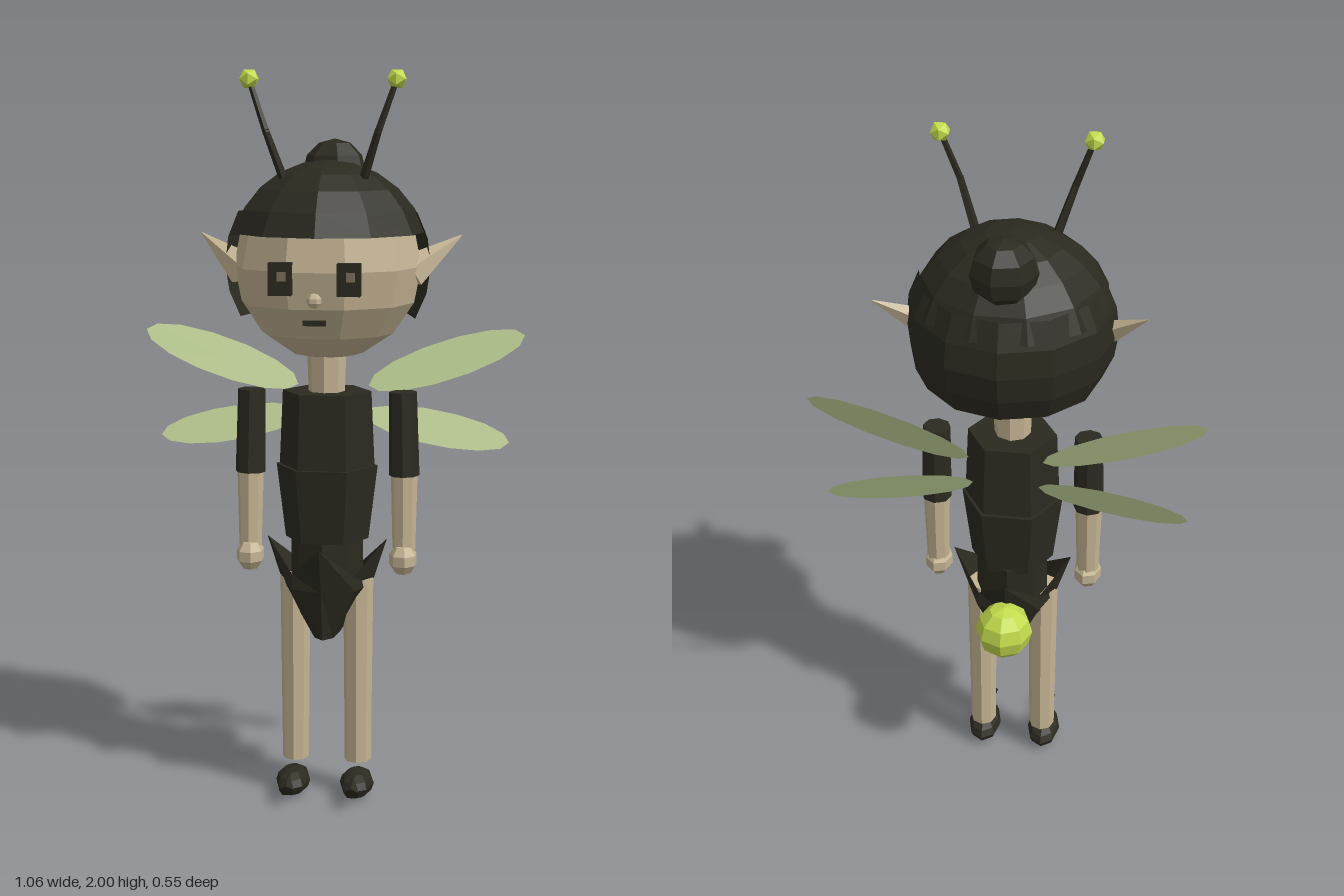
import * as THREE from 'three';

const mat = (name, color, side = THREE.FrontSide) => {
  const m = new THREE.MeshStandardMaterial({ color, side, flatShading: true });
  m.name = name;
  return m;
};

export function createModel() {
  const root = new THREE.Group();
  root.name = 'fairy';
  const skin = mat('skin', 0xc4b493);
  const dark = mat('dark cloth and hair', 0x2b2a20, THREE.DoubleSide);
  const glow = mat('glow green', 0xc2da4c);
  const wingGreen = mat('wing green', 0xc4d69a, THREE.DoubleSide);
  const glint = mat('eye glint', 0x7d715c);

  const add = (name, geo, material, x = 0, y = 0, z = 0, sx = 1, sy = 1, sz = 1) => {
    const m = new THREE.Mesh(geo, material);
    m.name = name;
    m.position.set(x, y, z);
    m.scale.set(sx, sy, sz);
    root.add(m);
    return m;
  };
  // tapered cylinder running between two points
  const rod = (name, a, b, ra, rb, sides, material, flat = 1) => {
    const p = new THREE.Vector3(...a), d = new THREE.Vector3(...b).sub(p);
    const m = add(name, new THREE.CylinderGeometry(rb, ra, d.length(), sides), material);
    m.position.copy(p).addScaledVector(d, 0.5);
    m.quaternion.setFromUnitVectors(new THREE.Vector3(0, 1, 0), d.normalize());
    m.scale.z = flat;
    return m;
  };
  const ball = (r, w = 8, h = 6) => new THREE.SphereGeometry(r, w, h);

  // head and face
  add('head', ball(0.255, 10, 8), skin, 0, 1.48, 0, 1, 1, 0.95);
  add('nose', ball(0.02, 6, 5), skin, 0, 1.41, 0.25);
  add('mouth', new THREE.BoxGeometry(0.06, 0.014, 0.012), dark, 0, 1.352, 0.248);
  rod('neck', [0, 1.14, 0.01], [0, 1.26, 0.01], 0.05, 0.054, 8, skin);

  // hair: cap, back shell and bun
  const cap = new THREE.SphereGeometry(0.277, 11, 5, Math.PI / 2, Math.PI * 2, 0, 1.26);
  add('hairCap', cap, dark, 0, 1.485, -0.008, 1, 1, 0.96);
  const back = new THREE.SphereGeometry(0.28, 6, 4, Math.PI, Math.PI, 1.05, 1.07);
  add('hairBack', back, dark, 0, 1.485, 0);
  add('hairBun', ball(0.09, 7, 6), dark, 0, 1.725, -0.155);

  // torso: rings of a six-sided body
  const torso = (name, y0, r0, y1, r1, depth) => {
    const geo = new THREE.CylinderGeometry(r1, r0, y1 - y0, 6);
    geo.rotateY(Math.PI / 6);
    add(name, geo, dark, 0, (y0 + y1) / 2, 0.005, 1, 1, depth);
  };
  torso('chest', 0.92, 0.132, 1.14, 0.122, 0.94);
  torso('waist', 0.73, 0.115, 0.935, 0.14, 0.97);
  rod('hips', [0, 0.56, 0], [0, 0.74, 0], 0.1, 0.1, 8, dark);

  // petal skirt: eight-sided cup whose rim rises to four points
  const profile = [[0.001, 0.45], [0.08, 0.46], [0.125, 0.6], [0.14, 0.67]].map(p => new THREE.Vector2(...p));
  const petals = new THREE.LatheGeometry(profile, 8);
  const pos = petals.attributes.position;
  for (let i = 0; i < pos.count; i++) {
    const ring = i % 4, point = Math.floor(i / 4) % 2 === 0;
    if (ring === 3) {
      const k = point ? 1.19 : 0.85;
      pos.setXYZ(i, pos.getX(i) * k, point ? 0.73 : 0.64, pos.getZ(i) * k);
    } else if (ring === 1) {
      pos.setX(i, pos.getX(i) * 0.45);
      pos.setZ(i, pos.getZ(i) * 1.2);
    }
  }
  petals.computeVertexNormals();
  add('petalSkirt', petals, dark, 0, 0, 0.005);

  // glowing tail
  add('tailGlow', ball(0.08), glow, 0, 0.585, -0.165);

  // leaf-shaped wing, leaning back along its length
  const wing = (name, s, x, y, halfLength, halfWidth, angle) => {
    const geo = new THREE.CircleGeometry(1, 14);
    geo.scale(halfLength, halfWidth, 1);
    geo.rotateX(-0.35);
    const m = add(name, geo, wingGreen, s * x, y, -0.125);
    m.rotation.z = s * angle;
  };

  for (const s of [1, -1]) {
    const side = s > 0 ? 'left' : 'right';

    // eye with a small glint
    add(side + 'Eye', new THREE.BoxGeometry(0.06, 0.085, 0.032), dark, s * 0.09, 1.465, 0.242);
    add(side + 'EyeGlint', new THREE.BoxGeometry(0.022, 0.024, 0.009), glint, s * 0.09 + 0.006, 1.473, 0.261);

    // pointed ear
    rod(side + 'Ear', [s * 0.225, 1.465, 0.005], [s * 0.357, 1.56, -0.063], 0.05, 0.002, 5, skin, 0.7);

    // antenna
    rod(side + 'AntennaBase', [s * 0.105, 1.71, 0.07], [s * 0.15, 1.845, 0.103], 0.013, 0.01, 5, dark);
    rod(side + 'AntennaStalk', [s * 0.147, 1.835, 0.103], [s * 0.192, 1.965, 0.088], 0.01, 0.008, 5, dark);
    add(side + 'AntennaTip', new THREE.IcosahedronGeometry(0.028), glow, s * 0.195, 1.974, 0.087);

    // arm
    rod(side + 'Sleeve', [s * 0.213, 0.91, 0.005], [s * 0.208, 1.14, 0.005], 0.042, 0.038, 8, dark);
    rod(side + 'Forearm', [s * 0.214, 0.69, 0.01], [s * 0.213, 0.92, 0.005], 0.031, 0.037, 8, skin);
    add(side + 'Hand', ball(0.045, 7, 5), skin, s * 0.213, 0.677, 0.018, 0.9, 1, 1.15);

    // leg and curled shoe
    rod(side + 'Leg', [s * 0.088, 0.095, 0.01], [s * 0.088, 0.62, 0.01], 0.037, 0.042, 8, skin, 1.12);
    add(side + 'Shoe', ball(1, 8, 6), dark, s * 0.09, 0.038, 0.048, 0.048, 0.038, 0.082);
    rod(side + 'ShoeCurl', [s * 0.09, 0.048, 0.172], [s * 0.09, 0.08, 0.122], 0.022, 0.001, 5, dark);

    wing(side + 'UpperWing', s, 0.315, 1.21, 0.228, 0.056, 0.33);
    wing(side + 'LowerWing', s, 0.29, 1.02, 0.205, 0.05, -0.18);
  }
  return root;
}
